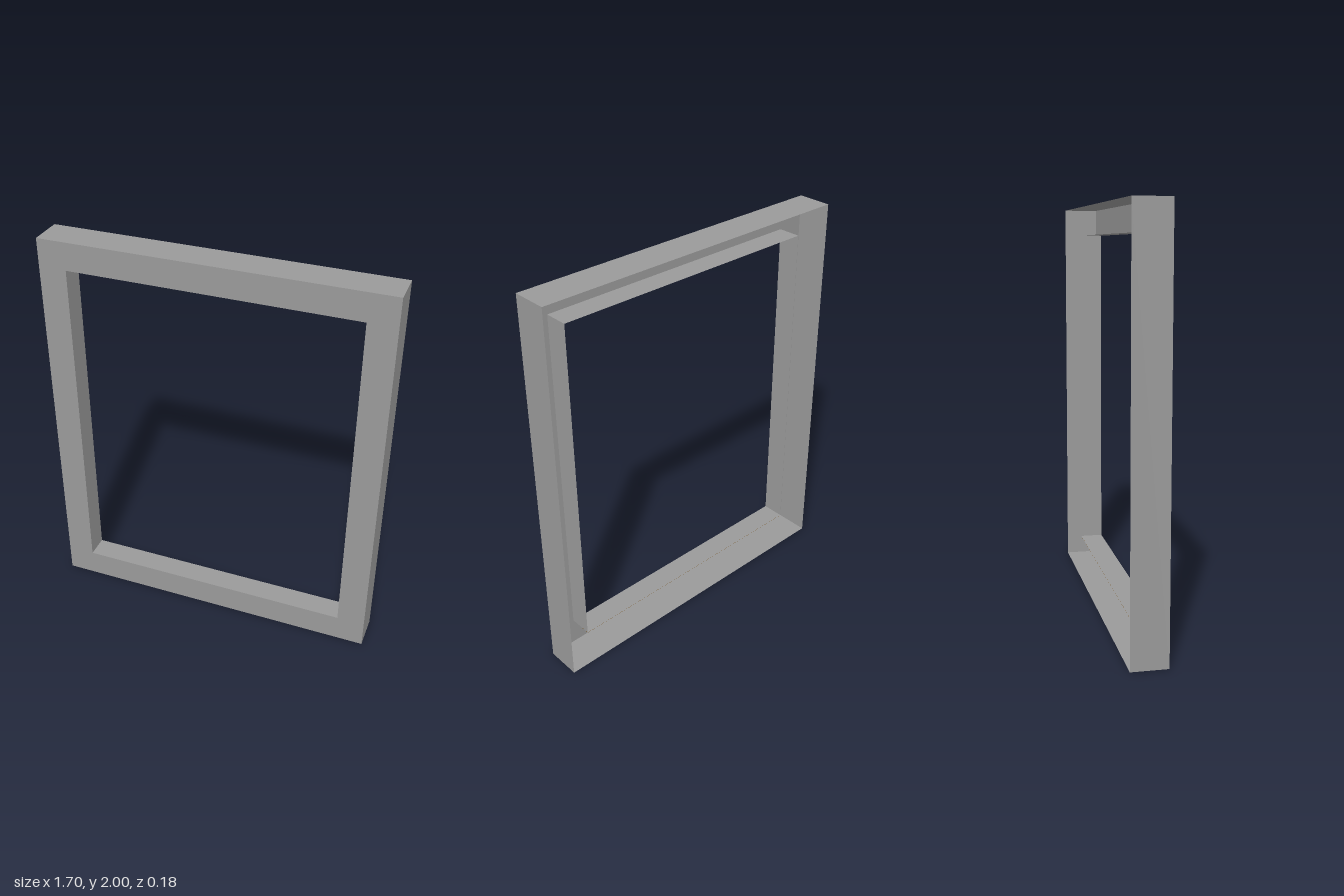
import * as THREE from 'three';

const HALF_W = 0.85, HALF_H = 1, FRONT = 0.088, BACK = -0.088;
const BORDER = 0.14;          // width of the front face
const LINING_BACK = -0.03;    // the opening's walls stop short of the back
const STRIP_DEPTH = 0.06;

const grey = new THREE.MeshStandardMaterial({ color: 0x9a9a9a, flatShading: true, side: THREE.DoubleSide });
const brown = new THREE.MeshStandardMaterial({ color: 0x664008, flatShading: true, side: THREE.DoubleSide });

// Four thin walls forming a rectangular sleeve open along z
function sleeve(name, halfW, halfH, zBack) {
  const geo = new THREE.CylinderGeometry(Math.SQRT2, Math.SQRT2, 1, 4, 1, true);
  geo.rotateY(Math.PI / 4).rotateX(Math.PI / 2);
  geo.scale(halfW, halfH, FRONT - zBack);
  geo.translate(0, HALF_H, (FRONT + zBack) / 2);
  const flat = geo.toNonIndexed();
  flat.computeVertexNormals();
  const mesh = new THREE.Mesh(flat, grey);
  mesh.name = name;
  return mesh;
}

function rectangle(path, halfW, halfH) {
  path.moveTo(-halfW, -halfH);
  path.lineTo(halfW, -halfH);
  path.lineTo(halfW, halfH);
  path.lineTo(-halfW, halfH);
  path.closePath();
  return path;
}

export function createModel() {
  const group = new THREE.Group();
  group.name = 'frame';
  const inW = HALF_W - BORDER, inH = HALF_H - BORDER;

  // Flat front border around the opening
  const outline = rectangle(new THREE.Shape(), HALF_W, HALF_H);
  outline.holes.push(rectangle(new THREE.Path(), inW, inH));
  const front = new THREE.Mesh(new THREE.ShapeGeometry(outline), grey);
  front.name = 'frontBorder';
  front.position.set(0, HALF_H, FRONT);
  group.add(front);

  // Outer walls, open at the back, and the shallower walls of the opening
  group.add(sleeve('outerWalls', HALF_W, HALF_H, BACK));
  group.add(sleeve('openingWalls', inW, inH, LINING_BACK));

  // Brown strip under the rear half of the sill
  const strip = new THREE.Mesh(new THREE.PlaneGeometry(2 * inW, STRIP_DEPTH), brown);
  strip.name = 'sillStrip';
  strip.rotation.x = Math.PI / 2;
  strip.position.set(0, BORDER - 0.001, LINING_BACK + STRIP_DEPTH / 2);
  group.add(strip);
  return group;
}
